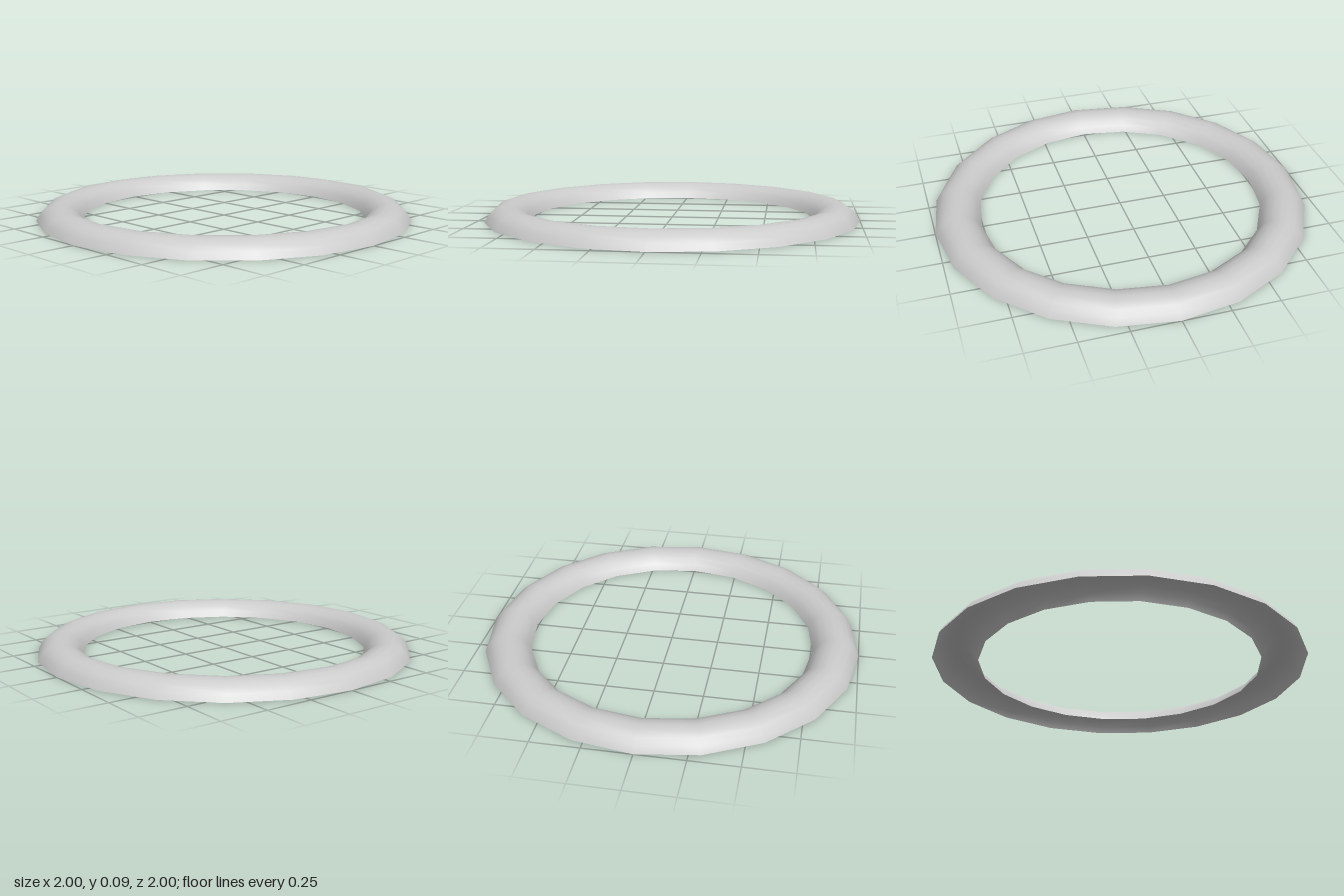
import * as THREE from 'three';

export function createModel() {
  const group = new THREE.Group();
  group.name = 'ring';

  // Arched cross-section, open underneath, from outer rim over the crown to inner rim
  const outer = 1, inner = 0.758, height = 0.085, steps = 8;
  const half = (outer - inner) / 2;
  const radius = (half * half + height * height) / (2 * height);
  const sweep = Math.asin(half / radius);
  const profile = [];
  for (let i = 0; i <= steps; i++) {
    const a = sweep * (1 - (2 * i) / steps);
    profile.push(new THREE.Vector2(
      (outer + inner) / 2 + radius * Math.sin(a),
      Math.max(0, height - radius + radius * Math.cos(a))
    ));
  }

  // Twenty-sided hollow shell
  const shell = new THREE.Mesh(
    new THREE.LatheGeometry(profile, 20),
    new THREE.MeshStandardMaterial({ color: 0xcccccc, side: THREE.DoubleSide })
  );
  shell.name = 'ringShell';
  group.add(shell);
  return group;
}
